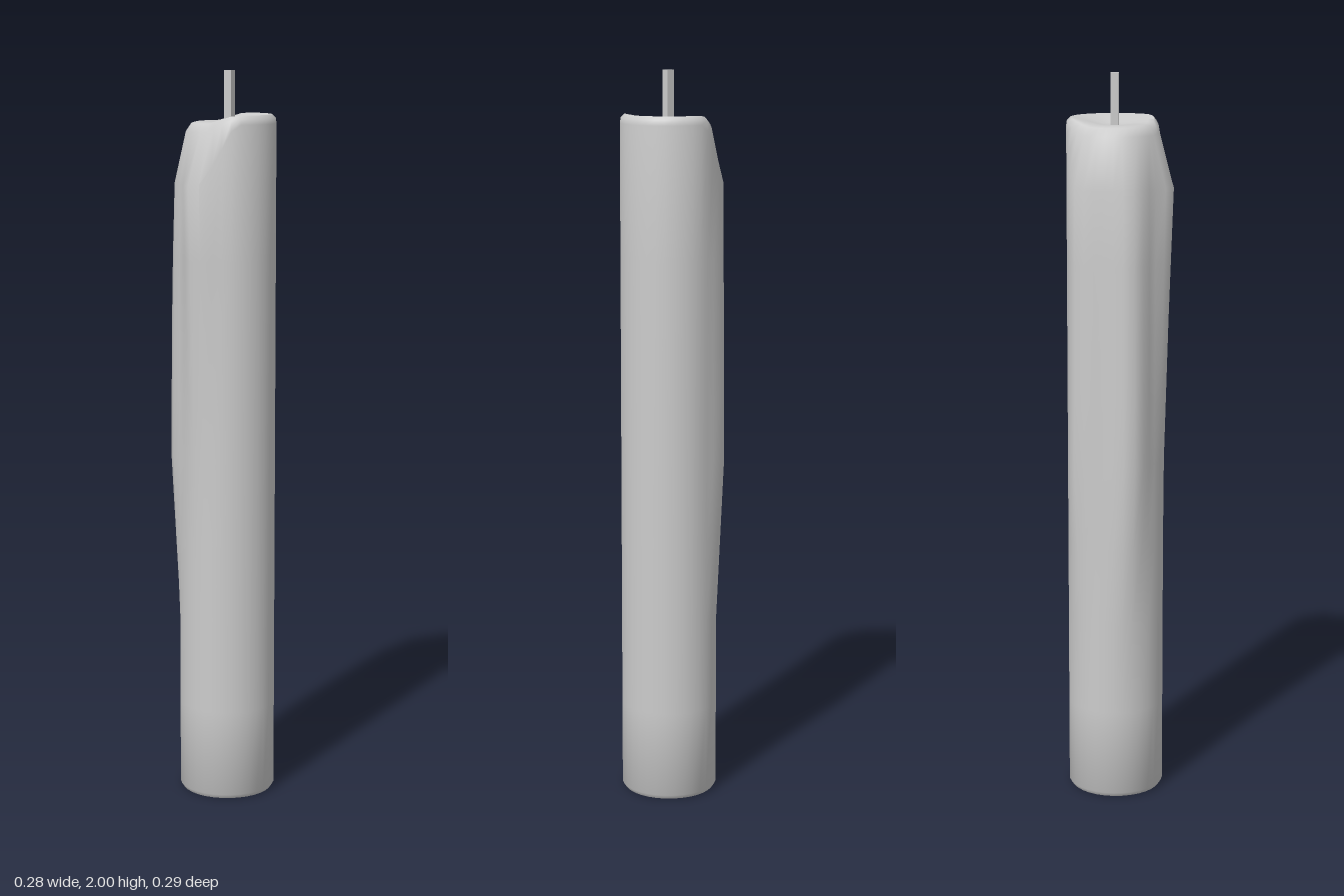
import * as THREE from 'three';
import { toCreasedNormals } from 'three/addons/utils/BufferGeometryUtils.js';

const SIDES = 32, CX = 0.005, CZ = -0.012, R = 0.132;
const clamp = THREE.MathUtils.clamp;

// Wax runs: direction, angular half width, thickness, [height, strength] profile
const drips = [
  { angle: 1.73, width: 0.5, size: 0.029, profile: [[0.9, 0], [1.3, 0.5], [1.7, 1], [1.86, 0.4]] },
  { angle: 2.76, width: 0.55, size: 0.024, profile: [[0.5, 0], [0.95, 1], [1.4, 0.85], [1.7, 0.5], [1.86, 0]] },
  { angle: 3.95, width: 0.5, size: 0.02, profile: [[0.5, 0], [0.95, 1], [1.7, 0.7], [1.86, 0]] },
];

function strength(profile, y) {
  for (let i = 1; i < profile.length; i++) {
    const [y0, s0] = profile[i - 1], [y1, s1] = profile[i];
    if (y >= y0 && y <= y1) return s0 + (s1 - s0) * (y - y0) / (y1 - y0);
  }
  return 0;
}

function bodyRadius(a, y) {
  let r = R;
  for (const d of drips) {
    const off = Math.abs(a - d.angle) / d.width;
    if (off < 1) r += d.size * strength(d.profile, y) * (0.5 + 0.5 * Math.cos(Math.PI * off));
  }
  return r;
}

// How far the top edge has melted away in a direction, 0 to 1
const melt = (a) => clamp(0.4 + 1.5 * Math.cos(a - 2.75), 0, 1);

// Each ring gives [radius, height] for an angle, from bottom to top
const wall = [0.012, 0.25, 0.5, 0.72, 0.95, 1.12, 1.3, 1.5];
const rings = [
  () => [R - 0.008, 0],
  ...wall.map((y) => (a) => [bodyRadius(a, y), y]),
  (a) => { const y = 1.86 - 0.16 * melt(a); return [bodyRadius(a, Math.min(y, 1.86)), y]; },
  (a) => [0.13 - 0.018 * melt(a), 1.874 - 0.035 * melt(a)],
  (a) => [0.12 - 0.023 * melt(a), 1.884 - 0.023 * melt(a)],
  (a) => [0.1 - 0.018 * melt(a), 1.88 - 0.015 * melt(a)],
  () => [0.045, 1.865],
];

function waxGeometry() {
  const pos = [], index = [];
  for (const ring of rings) {
    for (let i = 0; i < SIDES; i++) {
      const a = (i / SIDES) * Math.PI * 2;
      const [r, y] = ring(a);
      pos.push(CX + r * Math.cos(a), y, CZ + r * Math.sin(a));
    }
  }
  const bottom = pos.length / 3, top = bottom + 1, last = (rings.length - 1) * SIDES;
  pos.push(CX, 0, CZ, CX, 1.86, CZ);
  for (let i = 0; i < SIDES; i++) {
    const j = (i + 1) % SIDES;
    for (let k = 0; k < rings.length - 1; k++) {
      const p = k * SIDES, q = p + SIDES;
      index.push(p + i, q + i, p + j, p + j, q + i, q + j);
    }
    index.push(bottom, i, j, top, last + j, last + i);
  }
  const geo = new THREE.BufferGeometry();
  geo.setAttribute('position', new THREE.Float32BufferAttribute(pos, 3));
  geo.setIndex(index);
  return toCreasedNormals(geo, 0.9);
}

export function createModel() {
  const group = new THREE.Group();
  group.name = 'candle';
  const material = new THREE.MeshStandardMaterial({ color: 0xcccccc });

  // Wax column with runs and a melted top edge
  const wax = new THREE.Mesh(waxGeometry(), material);
  wax.name = 'wax';

  // Square wick
  const wick = new THREE.Mesh(new THREE.BoxGeometry(0.022, 0.15, 0.022), material);
  wick.name = 'wick';
  wick.position.set(0.01, 1.925, -0.014);

  group.add(wax, wick);
  return group;
}
